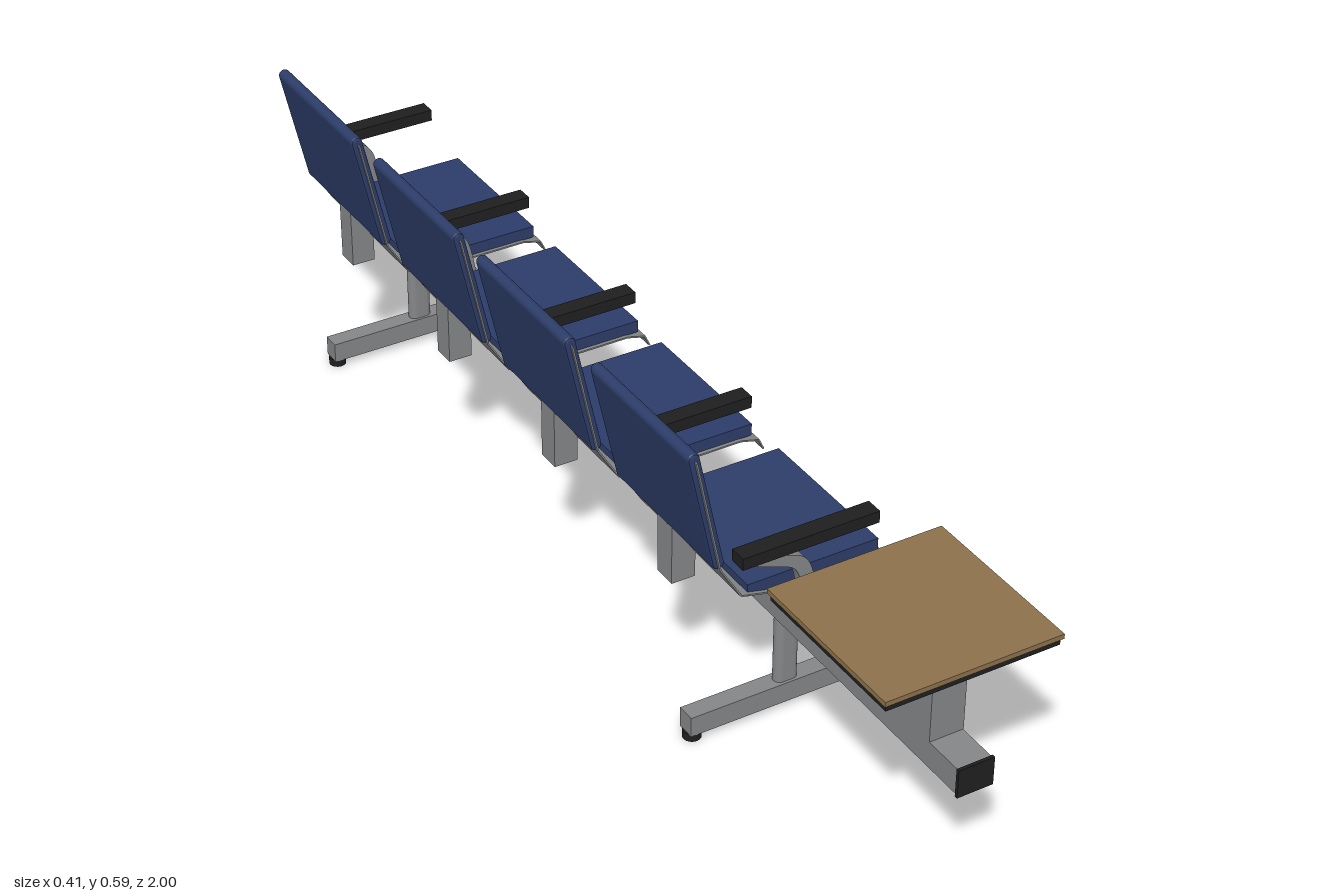
import * as THREE from 'three';

const material = (name, color, side = THREE.FrontSide) => {
  const m = new THREE.MeshStandardMaterial({ color, side });
  m.name = name;
  return m;
};

export function createModel() {
  const grey = material('grey metal', 0x858688);
  const black = material('black plastic', 0x1f1f1f);
  const blue = material('blue upholstery', 0x2d3d69);
  const wood = material('wood', 0x8d714b);

  const model = new THREE.Group();
  model.name = 'beamSeating';

  const add = (parent, name, geometry, mat) => {
    const mesh = new THREE.Mesh(geometry, mat);
    mesh.name = name;
    parent.add(mesh);
    return mesh;
  };
  // Box given by its limits on each axis
  const box = (parent, name, mat, [x0, x1], [y0, y1], [z0, z1]) => {
    const mesh = add(parent, name, new THREE.BoxGeometry(x1 - x0, y1 - y0, z1 - z0), mat);
    mesh.position.set((x0 + x1) / 2, (y0 + y1) / 2, (z0 + z1) / 2);
    return mesh;
  };
  // Side profile extruded along z and centred on z = 0
  const extrude = (shape, width, bevel = 0) => {
    const depth = width - 2 * bevel;
    const g = new THREE.ExtrudeGeometry(shape, {
      depth, curveSegments: 10, bevelEnabled: bevel > 0, bevelThickness: bevel,
      bevelSize: bevel, bevelOffset: -bevel, bevelSegments: 2,
    });
    return g.translate(0, 0, -depth / 2);
  };
  // Thin bent sheet following a side profile
  const sheet = (points, thickness) => {
    const pts = points.map(([x, y]) => new THREE.Vector2(x, y));
    const offset = pts.map((p, i) => {
      const a = pts[Math.max(i - 1, 0)], b = pts[Math.min(i + 1, pts.length - 1)];
      const d = b.clone().sub(a).normalize();
      return new THREE.Vector2(p.x - d.y * thickness, p.y + d.x * thickness);
    });
    return new THREE.Shape([...pts, ...offset.reverse()]);
  };

  // Beam with end caps
  box(model, 'beam', grey, [-0.018, 0.044], [0.193, 0.241], [-0.99, 0.995]);
  box(model, 'beamCapNear', black, [-0.02, 0.046], [0.19, 0.243], [0.994, 1]);
  box(model, 'beamCapFar', black, [-0.02, 0.046], [0.19, 0.243], [-1, -0.988]);

  // Legs: oval column, foot bar and two pads
  for (const z of [0.475, -0.818]) {
    const leg = new THREE.Group();
    leg.name = 'leg';
    leg.position.z = z;
    model.add(leg);
    const column = new THREE.Shape();
    column.moveTo(0.004, -0.012);
    column.lineTo(0.023, -0.012);
    column.absarc(0.023, 0, 0.012, -Math.PI / 2, Math.PI / 2, false);
    column.lineTo(0.004, 0.012);
    column.absarc(0.004, 0, 0.012, Math.PI / 2, Math.PI * 1.5, false);
    const post = new THREE.ExtrudeGeometry(column, { depth: 0.144, bevelEnabled: false, curveSegments: 8 });
    add(leg, 'column', post.rotateX(-Math.PI / 2), grey).position.y = 0.05;
    box(leg, 'footBar', grey, [-0.175, 0.203], [0.014, 0.052], [-0.017, 0.017]);
    for (const x of [-0.163, 0.19]) {
      add(leg, 'footPad', new THREE.CylinderGeometry(0.016, 0.016, 0.015, 16), black).position.set(x, 0.0075, 0);
    }
  }

  // Seat: bent shell, cushions and mounting pieces
  const shellProfile = [[0.172, 0.256], [0.163, 0.276], [0.128, 0.285], [-0.06, 0.285],
    [-0.11, 0.297], [-0.15, 0.362], [-0.196, 0.58]];
  const shellGeometry = extrude(sheet(shellProfile, -0.003), 0.31);
  const r = 0.0105, backLength = 0.222;
  const backShape = new THREE.Shape();
  backShape.moveTo(r, 0);
  backShape.lineTo(r, backLength - 0.005);
  backShape.absarc(0, backLength - 0.005, r, 0, Math.PI, false);
  backShape.lineTo(-r, 0);
  backShape.absarc(0, 0, r, Math.PI, Math.PI * 2, false);
  const backGeometry = extrude(backShape, 0.3, 0.004);

  for (const z of [-0.76, -0.381, -0.004, 0.376]) {
    const seat = new THREE.Group();
    seat.name = 'seat';
    seat.position.z = z;
    model.add(seat);
    add(seat, 'shell', shellGeometry, grey);
    box(seat, 'seatCushion', blue, [-0.094, 0.153], [0.287, 0.31], [-0.148, 0.148]);
    const back = add(seat, 'backCushion', backGeometry, blue);
    back.position.set(-0.149, 0.372, 0);
    back.rotation.z = Math.atan2(0.048, 0.217);
    box(seat, 'backBracket', grey, [-0.157, -0.113], [0.255, 0.396], [-0.022, 0.022]);
    box(seat, 'seatMount', grey, [-0.016, 0.042], [0.24, 0.286], [-0.076, 0.076]);
  }

  // Armrests on curved supports
  const support = new THREE.Shape();
  support.moveTo(0.012, 0.24);
  support.lineTo(0.002, 0.3);
  support.bezierCurveTo(-0.006, 0.345, -0.01, 0.37, -0.04, 0.38);
  support.lineTo(-0.075, 0.392);
  support.lineTo(-0.118, 0.392);
  support.lineTo(-0.115, 0.386);
  support.lineTo(-0.053, 0.362);
  support.bezierCurveTo(-0.035, 0.355, -0.03, 0.338, -0.026, 0.315);
  support.lineTo(-0.016, 0.265);
  support.lineTo(-0.014, 0.24);
  const supportGeometry = extrude(support, 0.02);
  for (const z of [-0.949, -0.569, -0.19, 0.188, 0.565]) {
    const arm = new THREE.Group();
    arm.name = 'armrest';
    arm.position.z = z;
    model.add(arm);
    add(arm, 'armSupport', supportGeometry, grey);
    box(arm, 'armPad', black, [-0.14, 0.113], [0.391, 0.413], [-0.016, 0.016]);
  }

  // Side table on a pedestal
  box(model, 'tablePedestal', grey, [-0.018, 0.045], [0.24, 0.392], [0.73, 0.92]);
  box(model, 'tableBase', black, [-0.143, 0.171], [0.39, 0.402], [0.664, 0.976]);
  box(model, 'tableTop', wood, [-0.147, 0.175], [0.402, 0.411], [0.66, 0.98]);

  return model;
}
